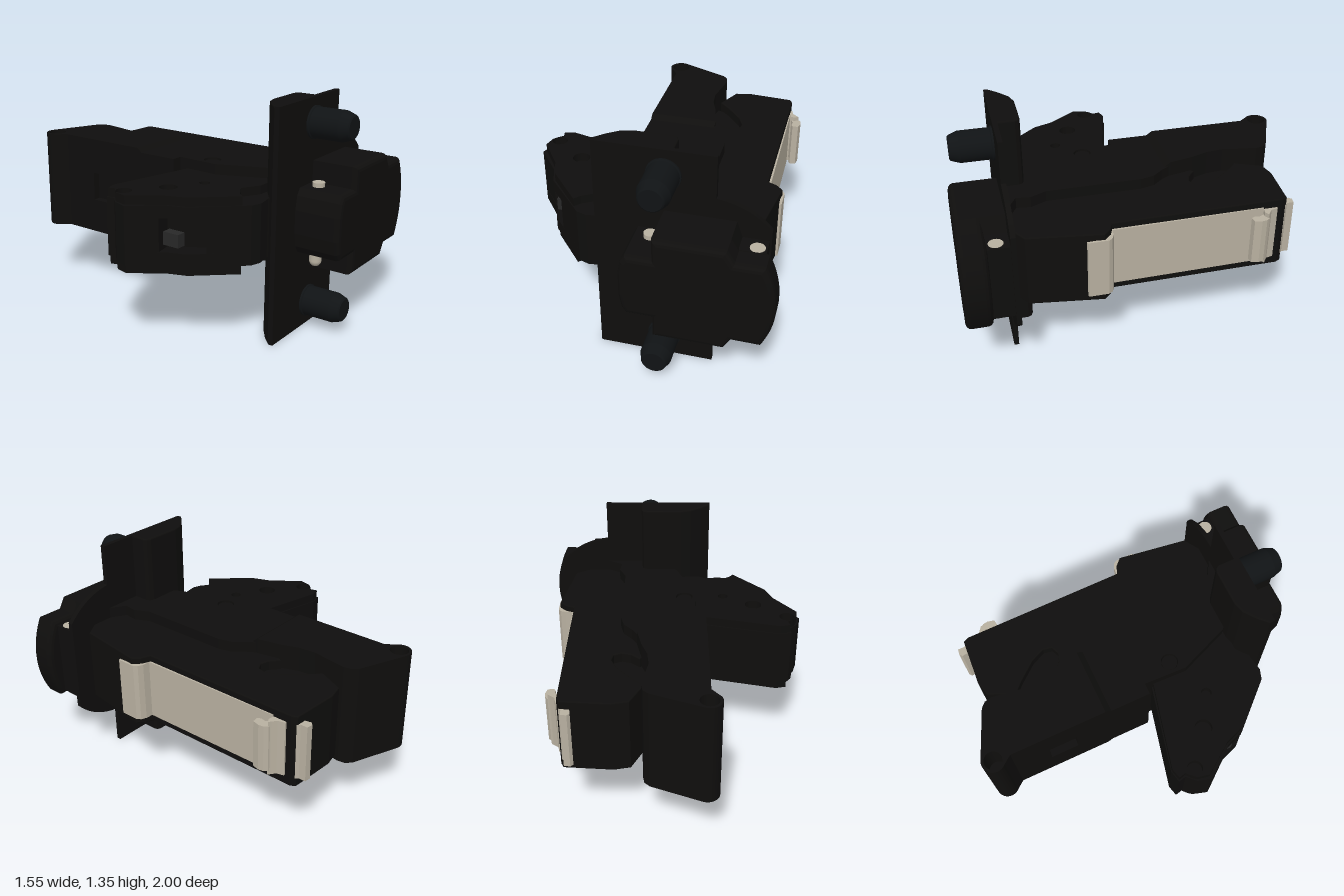
import * as THREE from 'three';

const black = new THREE.MeshStandardMaterial({ color: 0x0f0e0d, side: THREE.DoubleSide });
const pinBlack = new THREE.MeshStandardMaterial({ color: 0x101315 });
const steel = new THREE.MeshStandardMaterial({ color: 0xb8b0a0, side: THREE.DoubleSide });
const grey = new THREE.MeshStandardMaterial({ color: 0x282828 });
const MID = 0.6725; // height of the horizontal symmetry plane

export function createModel() {
  const model = new THREE.Group();

  const add = (name, geo, mat, x = 0, y = 0, z = 0) => {
    const mesh = new THREE.Mesh(geo, mat);
    mesh.name = name;
    mesh.position.set(x, y, z);
    model.add(mesh);
    return mesh;
  };

  // Extrusion along z of an outline; bevel stays inside the outline
  const extrude = (pts, depth, bevel = 0, holes = []) => {
    const shape = new THREE.Shape(pts.map(p => new THREE.Vector2(p[0], p[1])));
    for (const [x, y, r] of holes) shape.holes.push(new THREE.Path().absarc(x, y, r, 0, Math.PI * 2, true));
    const geo = new THREE.ExtrudeGeometry(shape, {
      depth: depth - 2 * bevel, bevelEnabled: bevel > 0, bevelSize: bevel,
      bevelThickness: bevel, bevelOffset: -bevel, bevelSegments: 3, curveSegments: 16,
    });
    return geo.translate(0, 0, bevel);
  };

  // Horizontal slab from y0 to y1, outline given as [x, z]
  const slab = (name, pts, y0, y1, mat = black, bevel = 0, holes = []) => {
    const flip = p => [p[0], -p[1], p[2]];
    const geo = extrude(pts.map(flip), y1 - y0, bevel, holes.map(flip)).rotateX(-Math.PI / 2);
    return add(name, geo, mat, 0, y0, 0);
  };
  // Upright plate from z0 to z1, outline given as [x, y]
  const upright = (name, pts, z0, z1, bevel = 0) => add(name, extrude(pts, z1 - z0, bevel), black, 0, 0, z0);

  const arc = (cx, cy, r, a0, a1, n) => Array.from({ length: n + 1 }, (_, i) => {
    const a = a0 + (a1 - a0) * i / n;
    return [cx + r * Math.cos(a), cy + r * Math.sin(a)];
  });

  // Main casing, with a rounded pocket running in from the rear notch
  slab('mainCasing', [[0.14, -0.67], [0.21, -0.82], [0.30, -0.84], [0.57, -0.82], [0.585, -0.79], [0.59, 0.18],
    [0.64, 0.2], [0.68, 0.24], [0.62, 0.65], [0.51, 0.72], [0, 0.72], [0, 0.6], [-0.03, 0.57], [-0.15, 0.27],
    [-0.14, 0.015], [-0.19, 0], [-0.19, -0.24], [0.1, -0.3], [0.17, -0.41], [0.22, -0.365], [0.27, -0.35],
    [0.315, -0.37], [0.325, -0.42], [0.29, -0.5], [0.2, -0.61]], 0.457, 0.887, black, 0.006);
  slab('casingPocketFloor', [[0.05, -0.64], [0.13, -0.66], [0.24, -0.62], [0.36, -0.42], [0.3, -0.33], [0.05, -0.33]], 0.515, 0.83);

  // Raised spine over the middle of the casing, with a rivet
  slab('casingSpine', [[-0.205, -0.25], [0.19, -0.25], [0.22, -0.2], [0.27, -0.14], [0.29, -0.06], [0.29, 0.48],
    [0.33, 0.57], [0.32, 0.65], [0.42, 0.71], [0, 0.71], [0, 0.6], [-0.03, 0.57], [-0.15, 0.27], [-0.14, 0.015],
    [-0.205, 0.015]], 0.4, 0.95, black, 0, [[-0.08, 0.2, 0.05]]);
  add('spineRivet', new THREE.CylinderGeometry(0.045, 0.045, 0.53, 24), black, -0.08, 0.675, 0.2);

  // Rear arm, with an end bore and a rectangular pocket on its outer side
  const armTip = [[-0.205, -0.835], ...arc(-0.195, -0.932, 0.068, 2.3, 5.1, 12), [0.11, -0.875], [0.14, -0.845],
    [0.148, -0.8], [0.13, -0.68], [0.115, -0.6], [0.125, -0.5], [0.16, -0.4], [0.19, -0.26]];
  const armSide = [[-0.205, -0.26]];
  const armPocket = [[-0.205, -0.26], [-0.205, -0.45], [-0.16, -0.45], [-0.16, -0.62], [-0.205, -0.62]];
  const bore = [[-0.195, -0.932, 0.052]];
  slab('rearArmLower', [...armTip, ...armSide], 0.375, 0.585, black, 0, bore);
  slab('rearArmMiddle', [...armTip, ...armPocket], 0.585, 0.76);
  slab('rearArmUpper', [...armTip, ...armSide], 0.76, 0.975, black, 0, bore);
  // Sloping shoulder between arm and spine
  const shoulder = extrude([[0.26, 0.375], [0.26, 0.975], [0.225, 0.95], [0.225, 0.4]], 0.395).rotateY(Math.PI / 2);
  add('rearArmShoulder', shoulder, black, -0.205);

  // Side housing with a pocket holding a small button
  const sideBack = [[-0.1, 0.07], [-0.64, -0.06], [-0.71, -0.045], [-0.7, 0], [-0.75, 0.05], [-0.775, 0.13]];
  const sideFront = [[-0.37, 0.66], [-0.31, 0.68], [-0.22, 0.665], [0, 0.7]];
  const sideWall = [[-0.64, 0.3], [-0.6, 0.41]];
  const sidePocket = [[-0.66, 0.27], [-0.56, 0.25], [-0.45, 0.44], [-0.53, 0.485]];
  slab('sideHousingLower', [...sideBack, ...sideWall, ...sideFront], 0.505, 0.58);
  slab('sideHousingMiddle', [...sideBack, ...sidePocket, ...sideFront], 0.58, 0.77);
  slab('sideHousingUpper', [...sideBack, ...sideWall, ...sideFront], 0.77, 0.84);
  const lid = [[-0.1, 0.08], [-0.64, -0.055], [-0.7, -0.04], [-0.69, 0], [-0.74, 0.05], [-0.755, 0.12], [-0.63, 0.295],
    [-0.59, 0.405], [-0.4, 0.62], [-0.37, 0.585], [-0.28, 0.53], [-0.18, 0.59], [0.02, 0.6]];
  const lidHoles = [[-0.69, 0.06, 0.045], [-0.5, 0.21, 0.05], [-0.32, 0.32, 0.03]];
  for (const [y0, y1] of [[0.455, 0.505], [0.84, 0.89]]) slab('sideHousingLid', lid, y0, y1, black, 0, lidHoles);
  add('button', new THREE.BoxGeometry(0.055, 0.075, 0.1), grey, -0.583, 0.643, 0.31);

  // Mounting plate: thin flange with a round lobe, and a thicker back
  const a = Math.acos((0.7 - 0.372) / 0.432);
  upright('mountingFlange', [[-0.24, 0], [0.41, 0], ...arc(0.372, MID, 0.432, -1.483, -a, 14),
    ...arc(0.372, MID, 0.432, a, 1.483, 14), [0.41, 1.345], [-0.24, 1.345]], 0.702, 0.73);
  slab('mountingPlateBack', [[-0.24, 0.725], [-0.24, 0.7], [-0.19, 0.65], [-0.12, 0.597], [-0.06, 0.58], [0.15, 0.58],
    [0.175, 0.59], [0.185, 0.61], [0.185, 0.725]], 0, 1.345, black, 0.008);

  // Mounting pins with tapered tips
  const pinProfile = [[0, 0], [0.094, 0], [0.094, 0.012], [0.0875, 0.016], [0.0875, 0.185], [0.07, 0.235], [0.062, 0.242], [0, 0.242]];
  const pinPoints = pinProfile.flatMap(([r, h]) => [new THREE.Vector2(r, h), new THREE.Vector2(r, h)]);
  for (const y of [0.143, 1.202]) {
    add('mountingPin', new THREE.LatheGeometry(pinPoints, 32), pinBlack, 0.138, y, 0.728).rotation.x = Math.PI / 2;
  }

  // Front cover: upper half outline mirrored about the mid plane
  const mirrorY = pts => [...pts, ...pts.map(([x, y]) => [x, 2 * MID - y]).reverse()];
  const coverLeft = [[-0.04, 0.74], [-0.025, 0.82], [0, 0.86], [0.14, 0.86], [0.14, 0.985], [0.52, 0.985]];
  const nose = arc(0.255, MID, 0.52, 0.499, 0, 10).slice(0, -1);
  upright('frontCover', mirrorY([...coverLeft, [0.56, 0.92], ...nose]), 0.85, 1, 0.03);
  upright('frontCoverBase', mirrorY([...coverLeft, [0.55, 0.895], [0.69, 0.895]]), 0.715, 0.91);

  // Steel pivot rod, and latch rod with a domed lower end
  add('pivotRod', new THREE.CylinderGeometry(0.04, 0.04, 0.45, 24), steel, 0.64, MID, 0.8);
  const rodProfile = [...arc(0, 0.425, 0.035, -Math.PI / 2, 0, 8), [0.035, 0.885], [0.035, 0.885], [0, 0.885]];
  add('latchRod', new THREE.LatheGeometry(rodProfile.map(p => new THREE.Vector2(...p)), 20), steel, 0.085, 0, 0.8);

  // Steel spring strip along the side, bent at both ends
  slab('springStrip', [[0.58, -0.68], [0.592, -0.68], [0.602, 0.2], [0.58, 0.2]], 0.5, 0.85, steel);
  slab('springFrontBend', [[0.58, 0.18], [0.645, 0.185], [0.675, 0.198], [0.69, 0.22], [0.69, 0.33], [0.677, 0.335],
    [0.672, 0.24], [0.64, 0.21], [0.58, 0.205]], 0.5, 0.85, steel);
  slab('springHook', [[0.57, -0.76], [0.595, -0.76], [0.605, -0.72], [0.63, -0.7], [0.645, -0.69], [0.62, -0.675],
    [0.59, -0.68], [0.57, -0.68]], 0.515, 0.84, steel);
  slab('springHookLip', [[0.61, -0.7], [0.645, -0.695], [0.66, -0.675], [0.665, -0.645], [0.655, -0.605], [0.62, -0.6],
    [0.61, -0.62], [0.615, -0.65], [0.6, -0.68]], 0.54, 0.815, steel);
  slab('springRearTab', [[0.51, -0.86], [0.525, -0.875], [0.56, -0.87], [0.56, -0.83], [0.575, -0.815], [0.53, -0.8],
    [0.515, -0.83]], 0.51, 0.84, steel);

  return model;
}
